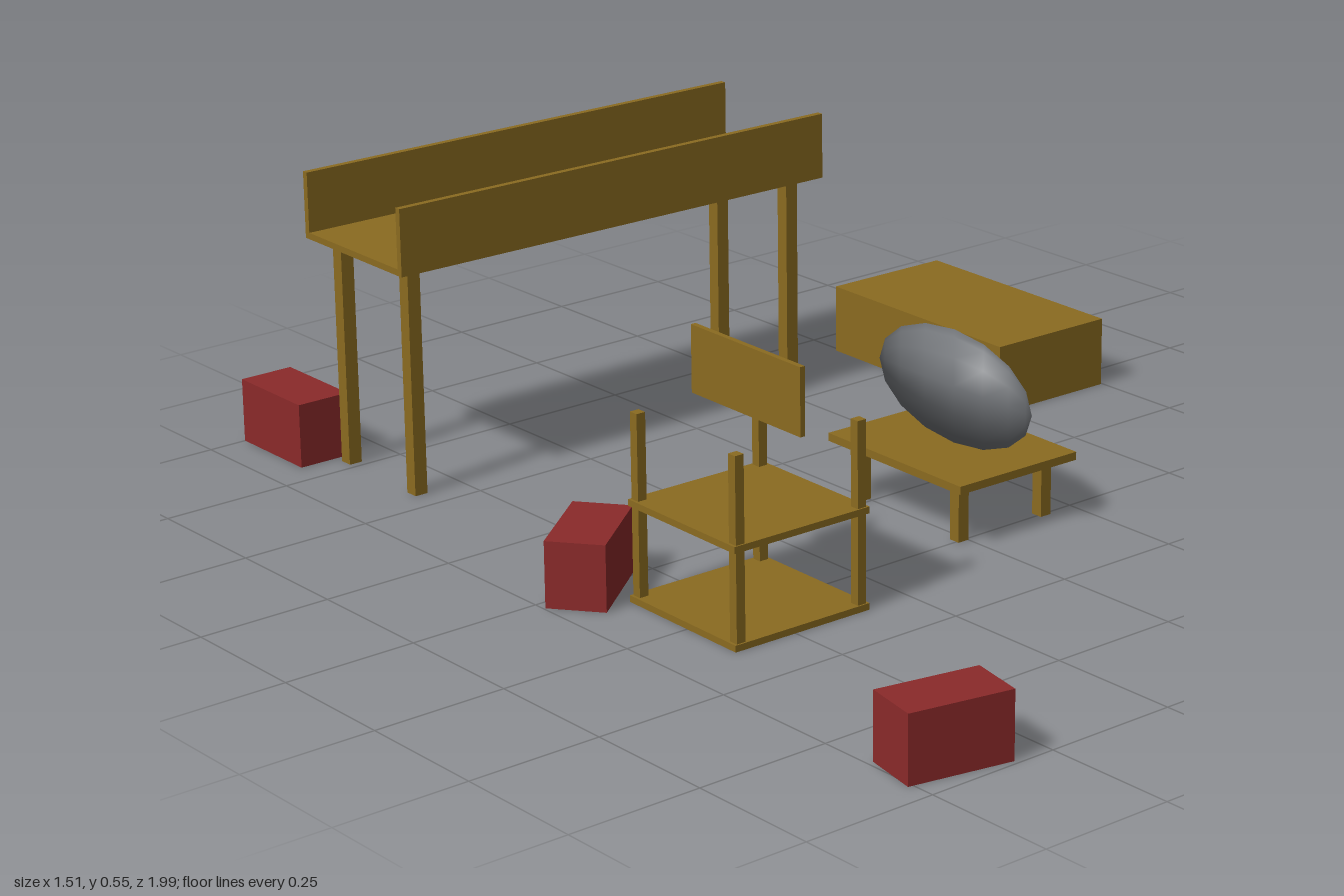
import * as THREE from 'three';

const wood = new THREE.MeshStandardMaterial({ color: 0x8b6b20, side: THREE.DoubleSide });
const red = new THREE.MeshStandardMaterial({ color: 0x8b2a2a, side: THREE.DoubleSide });
const metal = new THREE.MeshStandardMaterial({ color: 0x74777b });
const SKEW = -0.016; // slight turn shared by the furniture

function createPlace(parent, name, x, z, turn = SKEW) {
  const group = new THREE.Group();
  group.name = name;
  group.position.set(x, 0, z);
  group.rotation.y = turn;
  parent.add(group);
  return group;
}

// Solid box standing on height y
function addBox(parent, name, [w, h, d], [x, y, z]) {
  const mesh = new THREE.Mesh(new THREE.BoxGeometry(w, h, d), wood);
  mesh.name = name;
  mesh.position.set(x, y + h / 2, z);
  parent.add(mesh);
}

// Four square posts at the corners
function addLegs(parent, name, size, height, dx, dz) {
  for (const sx of [-1, 1])
    for (const sz of [-1, 1])
      addBox(parent, name, [size, height, size], [sx * dx, 0, sz * dz]);
}

// Thin-skinned box without a bottom
function addOpenBox(parent, name, [w, h, d], material) {
  const geometry = new THREE.BoxGeometry(w, h, d);
  const index = Array.from(geometry.index.array);
  index.splice(18, 6); // bottom face
  geometry.setIndex(index);
  geometry.clearGroups();
  const mesh = new THREE.Mesh(geometry, material);
  mesh.name = name;
  mesh.position.y = h / 2;
  parent.add(mesh);
}

export function createModel() {
  const model = new THREE.Group();
  model.name = 'furnitureSet';

  // Raised trough on four tall legs
  const trough = createPlace(model, 'trough', -0.16, -0.665);
  addBox(trough, 'troughFloor', [0.955, 0.012, 0.3], [0, 0.428, 0]);
  for (const s of [-1, 1])
    addBox(trough, 'troughWall', [0.955, 0.125, 0.012], [0, 0.428, s * 0.147]);
  addLegs(trough, 'troughLeg', 0.026, 0.43, 0.43, 0.106);

  // Long low block, open underneath
  const block = createPlace(model, 'lowBlock', 0.619, -0.428);
  addOpenBox(block, 'blockShell', [0.263, 0.133, 0.484], wood);

  // Low table
  const table = createPlace(model, 'table', 0.088, 0.114);
  addBox(table, 'tableTop', [0.272, 0.015, 0.357], [0, 0.106, 0]);
  addLegs(table, 'tableLeg', 0.023, 0.108, 0.097, 0.132);

  // Flattened oval disc standing on the table, keeping round shading
  const oval = new THREE.SphereGeometry(1, 12, 8);
  oval.rotateX(Math.PI / 2);
  const p = oval.attributes.position;
  for (let i = 0; i < p.count; i++)
    p.setXYZ(i, p.getX(i) * 0.002, p.getY(i) * 0.106, p.getZ(i) * 0.204);
  oval.computeBoundingSphere();
  const disc = new THREE.Mesh(oval, metal);
  disc.name = 'ovalDisc';
  disc.position.set(0, 0.228, 0.006);
  table.add(disc);

  // Two-shelf stand with corner posts and a panel above
  const stand = createPlace(model, 'stand', -0.481, 0.239);
  for (const y of [0, 0.173])
    addBox(stand, 'shelf', [0.286, 0.012, 0.286], [0, y, 0]);
  addLegs(stand, 'standPost', 0.018, 0.34, 0.129, 0.131);
  addBox(stand, 'topPanel', [0.01, 0.121, 0.288], [0, 0.342, 0]);

  // Scattered stools: x, z, turn
  for (const [x, z, turn] of [
    [-0.623, -0.905, Math.PI / 2 - 0.008],
    [-0.639, 0.006, 0.666],
    [-0.656, 0.921, -0.195],
  ]) {
    const stool = createPlace(model, 'stool', x, z, turn);
    addOpenBox(stool, 'stoolShell', [0.19, 0.121, 0.106], red);
  }

  return model;
}
